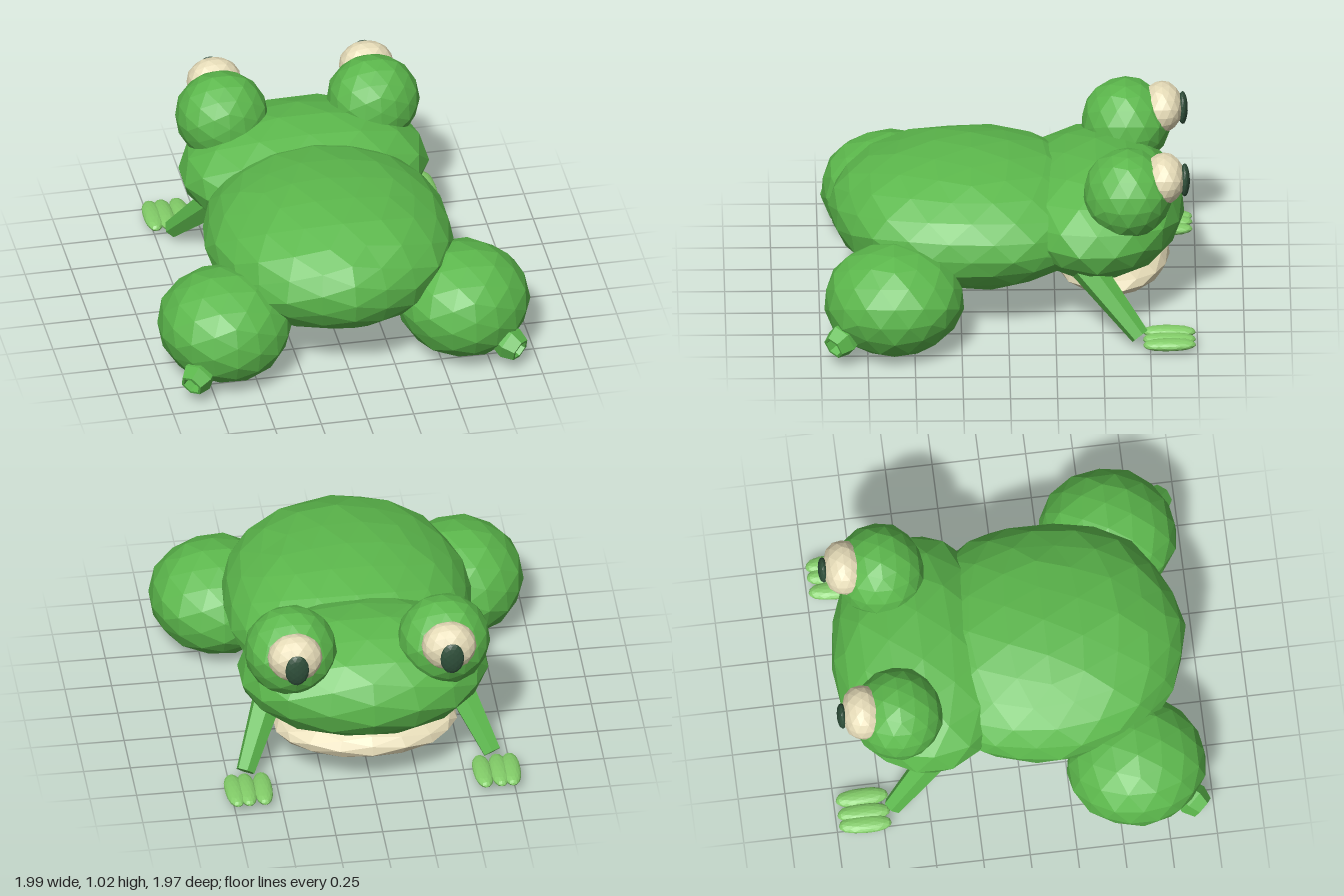
import * as THREE from 'three';

const mat = (color) => new THREE.MeshStandardMaterial({ color, flatShading: true });

export function createModel() {
  const frog = new THREE.Group();
  frog.name = 'frog';
  const skin = mat(0x5cb84c), toeSkin = mat(0x82cc68), cream = mat(0xe6dcb8), dark = mat(0x2f4f3a);
  skin.side = THREE.DoubleSide;

  // Faceted ellipsoid, round across x and y; power > 2 squares off its ends in z, jitter roughens it.
  function blob(name, material, centre, radii, detail = 2, jitter = 0.015, power = 2) {
    const geo = new THREE.IcosahedronGeometry(1, detail);
    const pos = geo.attributes.position;
    const p = new THREE.Vector3();
    for (let i = 0; i < pos.count; i++) {
      p.fromBufferAttribute(pos, i);
      const [a, b, c] = p.toArray().map((v) => Math.round(v * 100));
      const len = (Math.hypot(p.x, p.y) ** power + Math.abs(p.z) ** power) ** (1 / power);
      const wobble = Math.sin(a * 0.37 + b * 0.53 + c * 0.71) * jitter;
      p.multiplyScalar((1.01 + wobble) / len).multiply(new THREE.Vector3(...radii));
      pos.setXYZ(i, p.x, p.y, p.z);
    }
    geo.computeVertexNormals();
    const mesh = new THREE.Mesh(geo, material);
    mesh.name = name;
    mesh.position.set(...centre);
    frog.add(mesh);
    return mesh;
  }

  // Six-sided turned shape running from one point towards another
  function limb(name, from, to, profile) {
    const start = new THREE.Vector3(...from);
    const dir = new THREE.Vector3(...to).sub(start);
    const points = profile.map(([r, t]) => new THREE.Vector2(r, t * dir.length()));
    const mesh = new THREE.Mesh(new THREE.LatheGeometry(points, 6), skin);
    mesh.name = name;
    mesh.position.copy(start);
    mesh.quaternion.setFromUnitVectors(new THREE.Vector3(0, 1, 0), dir.normalize());
    frog.add(mesh);
  }

  // Trunk with slightly raised rump, head and pale throat
  const body = blob('body', skin, [0, 0.508, 0.2], [0.655, 0.35, 0.735], 3, 0.015, 2.12);
  body.rotation.x = -0.02;
  blob('head', skin, [0, 0.535, -0.468], [0.665, 0.308, 0.467], 2, 0.015, 2.05);
  blob('throat', cream, [0, 0.25, -0.55], [0.49, 0.122, 0.308], 2, 0.02);

  for (const [side, s] of [['left', 1], ['right', -1]]) {
    // Bulging eyes
    blob(side + 'EyeSocket', skin, [s * 0.41, 0.793, -0.632], [0.245, 0.24, 0.235], 2);
    blob(side + 'Eyeball', cream, [s * 0.412, 0.884, -0.826], [0.145, 0.132, 0.108], 2, 0.015, 2.2);
    blob(side + 'Pupil', dark, [s * 0.415, 0.875, -0.935], [0.063, 0.093, 0.027], 2);

    // Hind legs with short hollow stumps
    blob(side + 'Haunch', skin, [s * 0.645, 0.293, 0.61], [0.353, 0.29, 0.37], 2);
    limb(side + 'HindFoot', [s * 0.74, 0.2, 0.78], [s * 0.89, 0.13, 0.935],
      [[0, 0], [0.06, 0.2], [0.09, 0.7], [0.065, 1], [0.05, 1], [0.045, 0.8], [0, 0.8]]);

    // Forelegs and three-toed hands
    limb(side + 'Foreleg', [s * 0.48, 0.41, -0.4], [s * 0.66, 0.07, -0.695],
      [[0, 0], [0.09, 0], [0.052, 1], [0, 1]]);
    [0.588, 0.675, 0.74].forEach((x, i) => {
      const toe = blob(`${side}Toe${i + 1}`, toeSkin, [s * x, 0.06, -0.85], [0.05, 0.03, 0.138], 2, 0.015, 2.4);
      toe.rotation.y = s * (i - 1) * 0.03;
    });
  }
  return frog;
}
